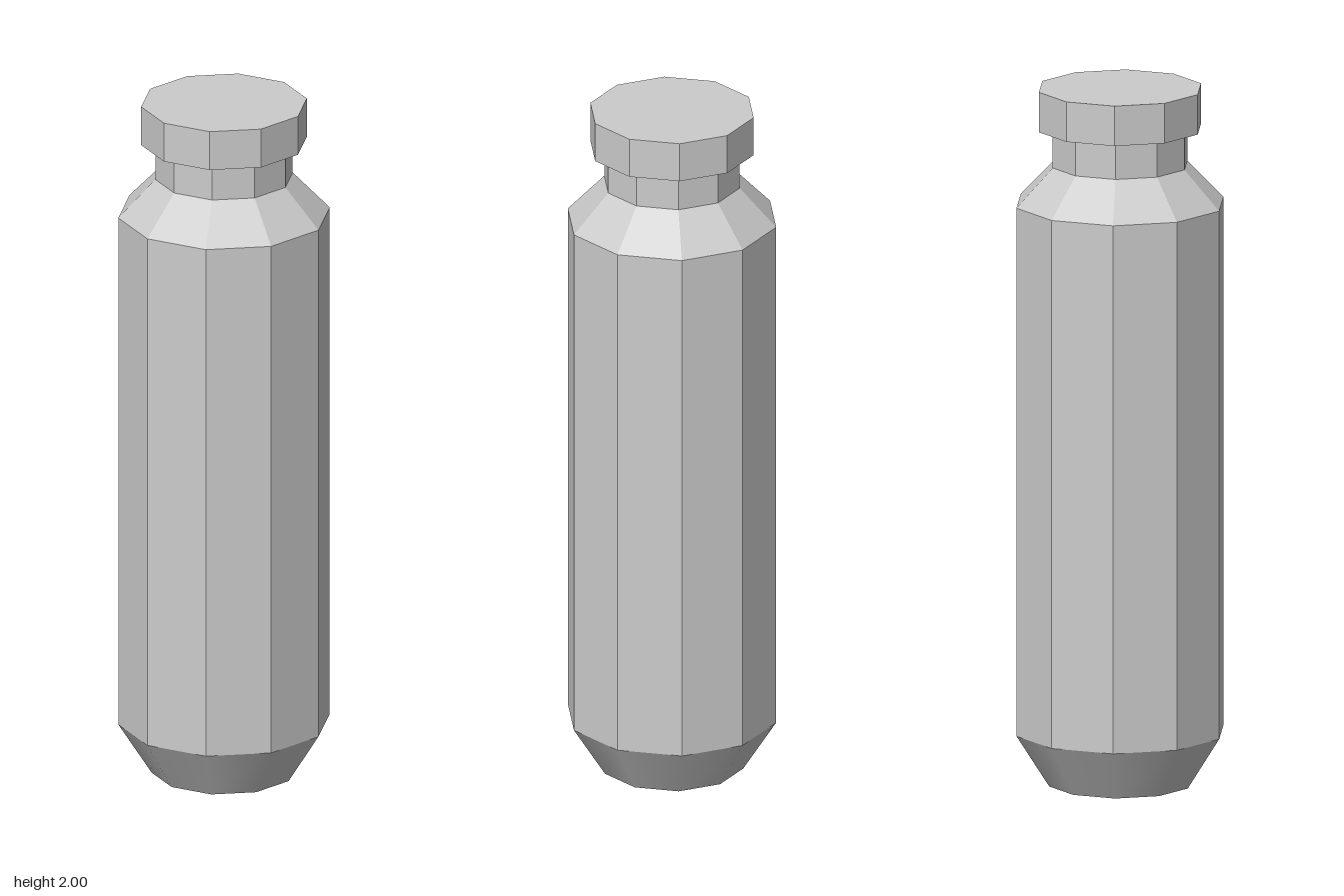
import * as THREE from 'three';

const SIDES = 10;

// Ten-sided ring between two heights, with a corner on the x axis
function ring(name, rTop, rBottom, y0, y1, { open = true, smooth = false } = {}) {
  const geometry = new THREE.CylinderGeometry(rTop, rBottom, y1 - y0, SIDES, 1, open, Math.PI / 2);
  geometry.translate(0, (y0 + y1) / 2, 0);
  const material = new THREE.MeshStandardMaterial({ color: 0xcccccc, flatShading: !smooth });
  const mesh = new THREE.Mesh(geometry, material);
  mesh.name = name;
  return mesh;
}

export function createModel() {
  const model = new THREE.Group();
  model.name = 'bottle';

  // Base disc, closing the bottom
  const base = new THREE.Mesh(
    new THREE.CircleGeometry(0.205, SIDES).rotateX(Math.PI / 2),
    new THREE.MeshStandardMaterial({ color: 0xcccccc, flatShading: true })
  );
  base.name = 'base';

  model.add(
    base,
    // Softly shaded taper under the faceted body
    ring('lowerTaper', 0.3, 0.205, 0, 0.15, { smooth: true }),
    ring('body', 0.3, 0.3, 0.15, 1.67),
    ring('shoulder', 0.195, 0.3, 1.67, 1.78),
    ring('neck', 0.195, 0.195, 1.78, 1.885),
    // Solid stopper overhanging the neck
    ring('cap', 0.235, 0.235, 1.885, 2, { open: false })
  );
  return model;
}
